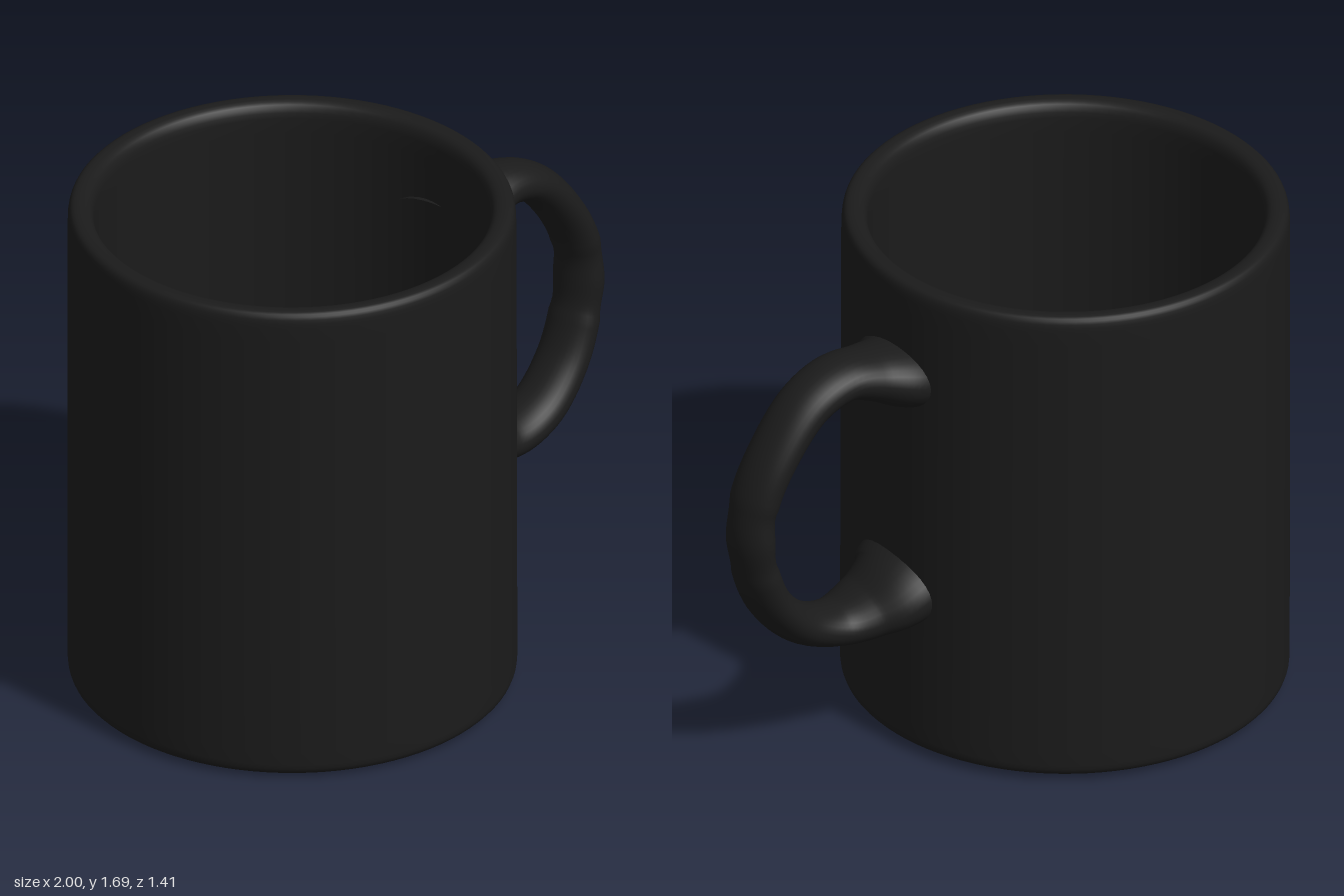
import * as THREE from 'three';

const material = new THREE.MeshStandardMaterial({ color: 0x1b1b1b, side: THREE.DoubleSide });

// Sweep of ellipses along a path; stations are [x, y, z, half thickness, half width]
function sweptHandle(stations, steps, sides) {
  const path = new THREE.CatmullRomCurve3(stations.map(s => new THREE.Vector3(s[0], s[1], s[2])));
  const sizes = new THREE.CatmullRomCurve3(stations.map(s => new THREE.Vector3(s[3], s[4], 0)));
  const positions = [], indices = [];
  for (let i = 0; i <= steps; i++) {
    const t = i / steps;
    const p = path.getPoint(t), size = sizes.getPoint(t), tangent = path.getTangent(t);
    const across = new THREE.Vector3(0, 0, 1).addScaledVector(tangent, -tangent.z).normalize();
    const outward = new THREE.Vector3().crossVectors(across, tangent);
    for (let j = 0; j < sides; j++) {
      const a = (j / sides) * Math.PI * 2;
      const v = p.clone()
        .addScaledVector(outward, Math.cos(a) * size.x)
        .addScaledVector(across, Math.sin(a) * size.y);
      positions.push(v.x, v.y, v.z);
      if (i < steps) {
        const k = i * sides + j, n = i * sides + (j + 1) % sides;
        indices.push(k, n, k + sides, n, n + sides, k + sides);
      }
    }
  }
  const geometry = new THREE.BufferGeometry();
  geometry.setAttribute('position', new THREE.Float32BufferAttribute(positions, 3));
  geometry.setIndex(indices);
  geometry.computeVertexNormals();
  return geometry;
}

// Closed wall profile: underside, outer wall, rounded rim, inner wall, floor
function bodyProfile() {
  const p = new THREE.Path();
  p.moveTo(0, 0);
  p.lineTo(0.5, 0.002);
  p.lineTo(0.64, 0.007);
  p.bezierCurveTo(0.69, 0.012, 0.703, 0.02, 0.704, 0.055);
  p.lineTo(0.704, 0.1);
  p.lineTo(0.703, 1.58);
  p.lineTo(0.702, 1.63);
  p.bezierCurveTo(0.701, 1.665, 0.695, 1.679, 0.67, 1.68);
  p.bezierCurveTo(0.64, 1.68, 0.625, 1.67, 0.62, 1.63);
  p.lineTo(0.619, 1.58);
  p.lineTo(0.619, 0.14);
  p.quadraticCurveTo(0.619, 0.08, 0.56, 0.08);
  p.lineTo(0.5, 0.08);
  p.lineTo(0, 0.08);
  return p.getPoints(6);
}

export function createModel() {
  const model = new THREE.Group();

  // Hollow body, leaning very slightly
  const body = new THREE.Mesh(new THREE.LatheGeometry(bodyProfile(), 96), material);
  body.name = 'body';
  body.position.set(-0.29, 0.003, 0);
  body.rotation.set(0.003, 0, 0.006);
  model.add(body);

  // Handle, offset towards the front and flared where it meets the wall
  const handle = new THREE.Mesh(sweptHandle([
    [0.335, 1.33, 0.105, 0.115, 0.185],
    [0.4, 1.348, 0.105, 0.104, 0.168],
    [0.49, 1.374, 0.125, 0.083, 0.13],
    [0.6, 1.395, 0.148, 0.068, 0.105],
    [0.73, 1.347, 0.17, 0.065, 0.096],
    [0.86, 1.2, 0.19, 0.062, 0.092],
    [0.925, 1.06, 0.205, 0.061, 0.09],
    [0.938, 0.93, 0.208, 0.061, 0.09],
    [0.915, 0.8, 0.208, 0.061, 0.09],
    [0.85, 0.66, 0.206, 0.062, 0.092],
    [0.73, 0.54, 0.195, 0.066, 0.096],
    [0.6, 0.496, 0.165, 0.068, 0.107],
    [0.49, 0.52, 0.13, 0.083, 0.135],
    [0.4, 0.562, 0.1, 0.108, 0.172],
    [0.335, 0.588, 0.1, 0.122, 0.19],
  ], 96, 32), material);
  handle.name = 'handle';
  model.add(handle);

  return model;
}
